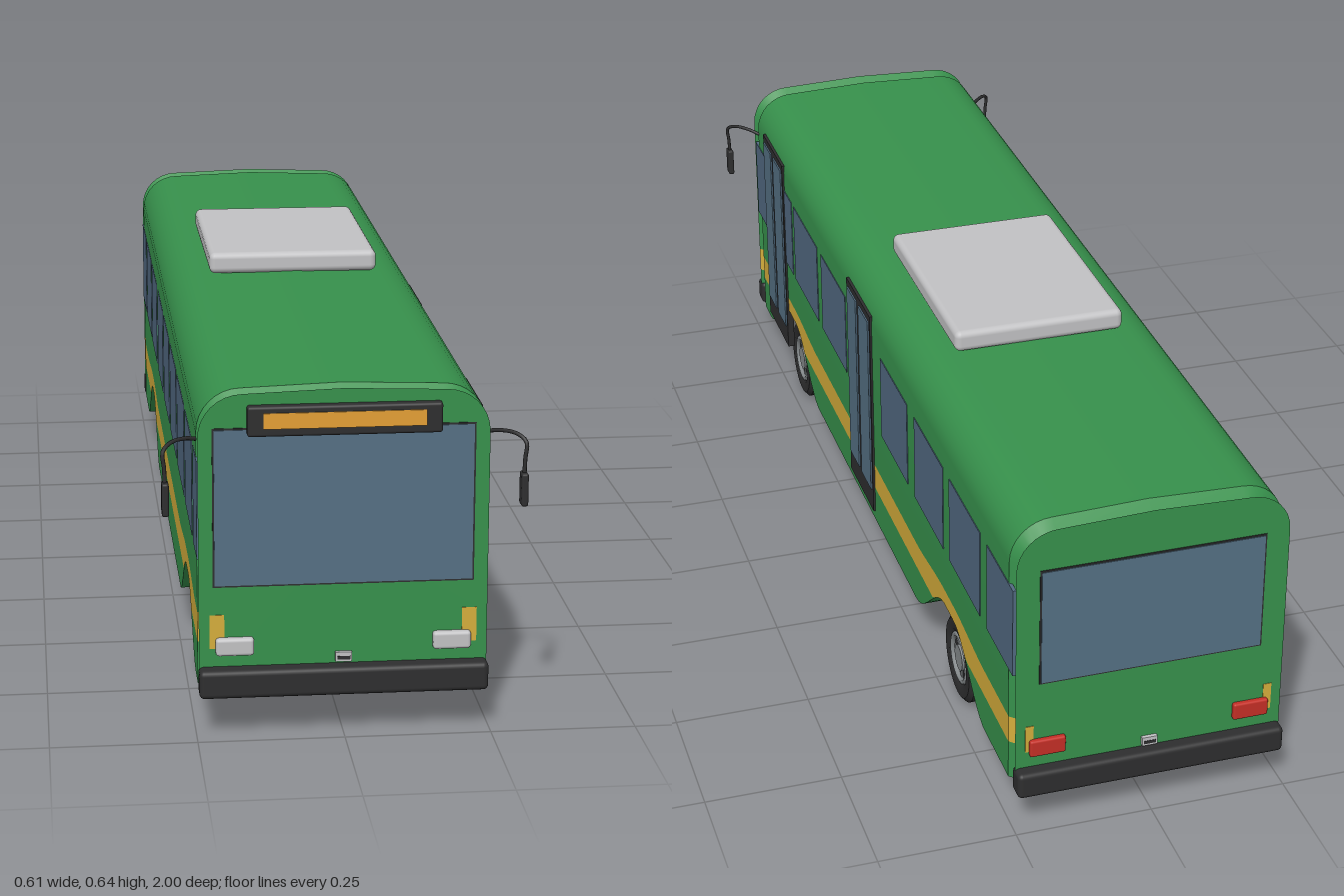
import * as THREE from 'three';
import { toCreasedNormals } from 'three/addons/utils/BufferGeometryUtils.js';
import { RoundedBoxGeometry } from 'three/addons/geometries/RoundedBoxGeometry.js';

const mat = (name, color) => Object.assign(new THREE.MeshStandardMaterial({ color }), { name });
const M = {
  green: mat('body green', 0x37914c),
  yellow: mat('stripe yellow', 0xd6ae3c),
  glass: mat('windscreen glass', 0x557084),
  sideGlass: mat('side window glass', 0x526a82),
  black: mat('trim black', 0x2e2e2f),
  floor: mat('underside black', 0x1c1c1c),
  grey: mat('light grey', 0xc2c2c4),
  steel: mat('rim steel', 0x858a8c),
  red: mat('tail light red', 0xc42f26),
  orange: mat('sign orange', 0xe5a035),
};

const FRONT = 0.968, BACK = -0.975, HALF = 0.245, TOP = 0.605, EDGE = 0.02;
const AXLES = [0.65, -0.57];

function add(parent, name, geometry, material, x = 0, y = 0, z = 0) {
  const mesh = new THREE.Mesh(geometry, material);
  mesh.name = name;
  mesh.position.set(x, y, z);
  parent.add(mesh);
  return mesh;
}

// Box given by its limits on each axis, optionally with rounded edges
function block(parent, name, material, [x0, x1], [y0, y1], [z0, z1], radius = 0) {
  const size = [x1 - x0, y1 - y0, z1 - z0];
  const geometry = radius ? new RoundedBoxGeometry(...size, 3, radius) : new THREE.BoxGeometry(...size);
  return add(parent, name, geometry, material, (x0 + x1) / 2, (y0 + y1) / 2, (z0 + z1) / 2);
}

// 1 over an axle, falling smoothly to 0 beside it
function arch(z) {
  const d = Math.min(...AXLES.map((a) => Math.abs(z - a)));
  return 1 - THREE.MathUtils.smoothstep(d, 0.03, 0.225);
}

// Cross-section at z: up the left side, over the roof, down the right side
function section(z, inset) {
  const low = 0.08 + 0.11 * arch(z);
  const w = HALF - inset, r = 0.075 - inset, cy = TOP - 0.006 - 0.075;
  const half = [[w, low], [w, Math.max(0.155, low)], [w, 0.208 + 0.014 * arch(z)], [w, cy]];
  for (let i = 1; i <= 8; i++) {
    const a = (i / 8) * Math.PI / 2;
    half.push([w - r + r * Math.cos(a), cy + r * Math.sin(a)]);
  }
  const ring = [...half, [0, TOP - inset], ...half.slice().reverse().map(([x, y]) => [-x, y])];
  return ring.map(([x, y]) => [x, y, z]);
}

function buildBody(parent) {
  // Stations along the length, with rounded front and back edges
  const stations = [];
  for (let i = 0; i <= 5; i++) {
    const a = (i / 5) * Math.PI / 2;
    stations.push([BACK + EDGE * (1 - Math.sin(a)), EDGE * (1 - Math.cos(Math.PI / 2 - a))]);
  }
  const ends = stations.map(([z, inset]) => [z - BACK, inset]).sort((a, b) => a[0] - b[0]);
  const rings = ends.map(([d, inset]) => section(BACK + d, inset));
  for (let i = 1; i < 100; i++) {
    rings.push(section(THREE.MathUtils.lerp(BACK + EDGE, FRONT - EDGE, i / 100), 0));
  }
  ends.reverse().forEach(([d, inset]) => rings.push(section(FRONT - d, inset)));

  const faces = { green: [], yellow: [], floor: [] };
  const tri = (key, a, b, c) => {
    const [p, q, r] = [a, b, c].map((v) => new THREE.Vector3(...v));
    if (q.sub(p).cross(r.sub(p)).length() > 1e-9) faces[key].push(...a, ...b, ...c);
  };
  const n = rings[0].length;
  for (let s = 0; s < rings.length - 1; s++) {
    for (let i = 0; i < n; i++) {
      const j = (i + 1) % n;
      const [a, b, c, d] = [rings[s][i], rings[s][j], rings[s + 1][j], rings[s + 1][i]];
      let key = 'green';
      if (i === 1 || i === n - 3) key = 'yellow';
      if (i === n - 1 && Math.max(a[1], d[1]) < 0.09) key = 'floor';
      tri(key, a, b, c);
      tri(key, a, c, d);
    }
  }
  // Flat front and back walls
  for (const [ring, front] of [[rings[0], false], [rings[rings.length - 1], true]]) {
    const mid = [0, 0.35, ring[0][2]];
    for (let i = 0; i < n; i++) {
      const a = ring[i], b = ring[(i + 1) % n];
      if (front) tri('green', mid, a, b);
      else tri('green', mid, b, a);
    }
  }
  const names = { green: 'bodyShell', yellow: 'sideStripe', floor: 'underside' };
  for (const key in faces) {
    const g = new THREE.BufferGeometry();
    g.setAttribute('position', new THREE.Float32BufferAttribute(faces[key], 3));
    add(parent, names[key], toCreasedNormals(g, 0.6), M[key]);
  }
}

function buildWheel(parent, x, z) {
  const wheel = new THREE.Group();
  wheel.name = 'wheel';
  wheel.position.set(x, 0.085, z);
  wheel.rotation.z = -Math.PI / 2;
  parent.add(wheel);
  const profile = [[0.05, -0.02], [0.056, -0.024], [0.076, -0.024], [0.085, -0.016], [0.085, 0.016],
    [0.076, 0.024], [0.056, 0.024], [0.05, 0.02]].map((p) => new THREE.Vector2(...p));
  add(wheel, 'tyre', toCreasedNormals(new THREE.LatheGeometry(profile, 36).toNonIndexed(), 0.6), M.black);
  add(wheel, 'wheelDisc', new THREE.CylinderGeometry(0.052, 0.052, 0.03, 32), M.black);
  add(wheel, 'hub', new THREE.CylinderGeometry(0.025, 0.025, 0.044, 20), M.steel);
  for (const side of [-1, 1]) {
    add(wheel, 'rim', new THREE.TorusGeometry(0.046, 0.005, 8, 32), M.steel, 0, side * 0.019, 0).rotation.x = Math.PI / 2;
  }
  for (let i = 0; i < 4; i++) {
    add(wheel, 'spokes', new THREE.BoxGeometry(0.092, 0.034, 0.009), M.steel).rotation.y = i * Math.PI / 4;
  }
}

function buildDoor(parent, z0, z1) {
  const door = new THREE.Group();
  door.name = 'door';
  parent.add(door);
  block(door, 'doorFrame', M.black, [0.235, 0.249], [0.1, 0.54], [z0, z1]);
  const mid = (z0 + z1) / 2;
  for (const [a, b] of [[z0 + 0.007, mid - 0.01], [mid + 0.01, z1 - 0.012]]) {
    block(door, 'doorGlass', M.glass, [0.246, 0.252], [0.148, 0.526], [a, b]);
  }
}

function buildMirror(parent, s) {
  const path = new THREE.CatmullRomCurve3([[0.243, 0.512, 0.925], [0.265, 0.519, 0.945], [0.29, 0.519, 0.97],
    [0.303, 0.508, 0.985], [0.301, 0.48, 0.987], [0.3, 0.445, 0.987]].map(([x, y, z]) => new THREE.Vector3(s * x, y, z)));
  add(parent, 'mirrorArm', new THREE.TubeGeometry(path, 24, 0.0035, 8), M.black);
  block(parent, 'mirror', M.black, [s * 0.3 - 0.006, s * 0.3 + 0.006], [0.4, 0.457], [0.974, 1], 0.004);
}

export function createModel() {
  const bus = new THREE.Group();
  bus.name = 'cityBus';
  buildBody(bus);

  // Side windows, with the door bays left out on the left side
  const bays = [[-0.962, -0.81], [-0.77, -0.58], [-0.54, -0.35], [-0.3, -0.11], [0.16, 0.36], [0.395, 0.6], [0.86, 0.955]];
  const leftBays = [...bays, [0.62, 0.685]];
  const rightBays = [...bays, [-0.07, 0.12], [0.635, 0.825]];
  for (const [a, b] of leftBays) block(bus, 'sideWindow', M.sideGlass, [0.24, 0.2465], [0.31, 0.482], [a, b]);
  for (const [a, b] of rightBays) block(bus, 'sideWindow', M.sideGlass, [-0.2465, -0.24], [0.31, 0.482], [a, b]);
  buildDoor(bus, 0.685, 0.862);
  buildDoor(bus, -0.046, 0.133);

  // Front and rear glass with a thin black seal
  block(bus, 'windscreenSeal', M.black, [-0.221, 0.221], [0.264, 0.541], [0.964, 0.9695]);
  block(bus, 'windscreen', M.glass, [-0.218, 0.218], [0.267, 0.538], [0.965, 0.971]);
  block(bus, 'rearWindowSeal', M.black, [-0.203, 0.203], [0.293, 0.522], [-0.9765, -0.971]);
  block(bus, 'rearWindow', M.glass, [-0.2, 0.2], [0.296, 0.519], [-0.978, -0.972]);

  // Destination sign
  block(bus, 'signBox', M.black, [-0.163, 0.163], [0.528, 0.58], [0.945, 0.983], 0.005);
  block(bus, 'signPanel', M.orange, [-0.136, 0.136], [0.542, 0.569], [0.979, 0.985]);

  // Bumpers and number plates
  block(bus, 'frontBumper', M.black, [-0.246, 0.246], [0.073, 0.123], [0.955, 0.995], 0.009);
  block(bus, 'rearBumper', M.black, [-0.246, 0.246], [0.073, 0.123], [-1, -0.96], 0.009);
  for (const z of [0.971, -0.978]) {
    block(bus, 'plate', M.grey, [-0.014, 0.014], [0.127, 0.144], [z - 0.004, z + 0.004]);
    block(bus, 'plateInset', M.black, [-0.011, 0.011], [0.131, 0.137], [z - 0.0048, z + 0.0048]);
  }

  for (const s of [-1, 1]) {
    const span = (a, b) => (s > 0 ? [a, b] : [-b, -a]);
    block(bus, 'frontStripeEnd', M.yellow, span(0.202, 0.227), [0.155, 0.215], [0.964, 0.969]);
    block(bus, 'rearStripeEnd', M.yellow, span(0.212, 0.227), [0.155, 0.208], [-0.976, -0.971]);
    block(bus, 'headlight', M.grey, span(0.152, 0.217), [0.144, 0.175], [0.955, 0.98], 0.006);
    block(bus, 'tailLight', M.red, span(0.155, 0.22), [0.147, 0.18], [-0.984, -0.96], 0.004);
    buildMirror(bus, s);
    for (const z of AXLES) buildWheel(bus, s * 0.205, z);
  }

  // Roof air conditioning unit
  block(bus, 'roofUnit', M.grey, [-0.163, 0.163], [0.602, 0.643], [-0.347, 0.096], 0.012);
  return bus;
}
